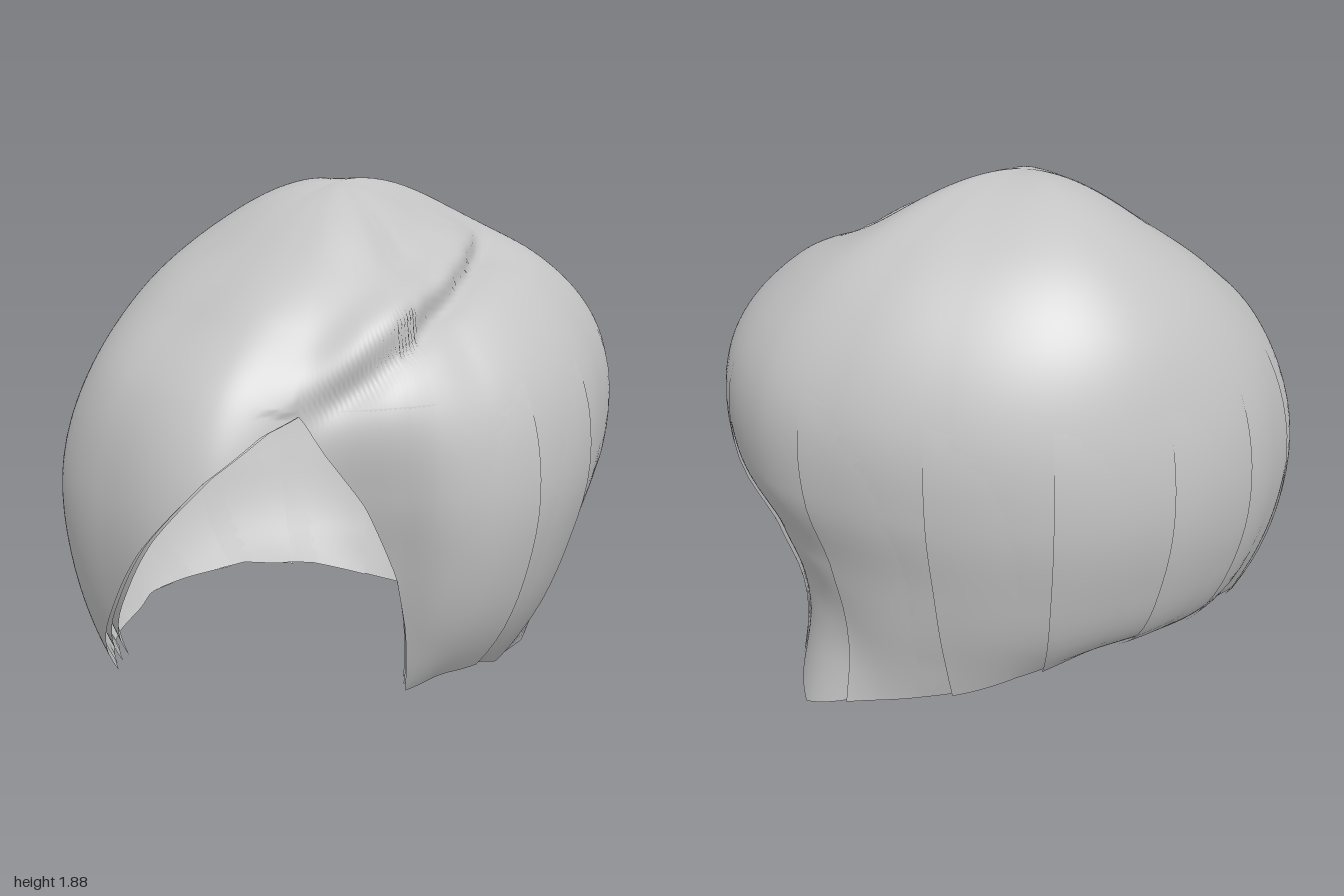
import * as THREE from 'three';

const RAD = Math.PI / 180, CY = 0.95;
const { lerp, clamp, smoothstep } = THREE.MathUtils;

// Radius of the hair from the head centre: one row per azimuth (0 = front, 90 = left ear),
// at elevations -55, -40, -20, 0, 20, 40, 60 degrees
const ELEV = [-55, -40, -20, 0, 20, 40, 60];
const AZ = [-180, -160, -135, -90, -45, -25, 0, 25, 45, 66, 78, 90, 135, 155];
const RADII = [
  [1.7, 1.07, 0.92, 0.98, 1.03, 1.0, 0.95],
  [1.25, 1.0, 0.87, 0.89, 0.94, 0.95, 0.94],
  [1.05, 0.92, 0.83, 0.83, 0.87, 0.9, 0.92],
  [0.87, 0.88, 0.84, 0.84, 0.86, 0.9, 0.92],
  [1.0, 0.99, 0.95, 0.92, 0.9, 0.88, 0.87],
  [1.2, 1.11, 1.03, 0.98, 0.92, 0.86, 0.84],
  [1.2, 1.12, 1.04, 0.99, 0.94, 0.84, 0.82],
  [1.1, 1.0, 1.0, 0.98, 0.93, 0.85, 0.82],
  [0.85, 0.77, 0.74, 0.74, 0.79, 0.8, 0.82],
  [0.92, 0.78, 0.71, 0.73, 0.79, 0.8, 0.81],
  [0.94, 0.86, 0.8, 0.79, 0.8, 0.79, 0.79],
  [0.94, 0.9, 0.85, 0.83, 0.82, 0.79, 0.78],
  [1.05, 0.96, 0.91, 0.94, 0.96, 0.92, 0.83],
  [1.25, 1.03, 0.95, 1.02, 1.06, 0.99, 0.88],
];
// Height of the lower edge by azimuth, rising into the face opening
const HEM = [[-180, 0], [-167, 0.09], [-150, 0.14], [-120, 0.24], [-90, 0.3], [-50, 0.3], [-32, 0.24],
  [-18, 0.18], [0, 0.54], [12, 0.8], [25, 1.05], [34, 1.18], [41, 1.23], [47, 1.1], [57, 0.92],
  [67, 0.65], [71, 0.45], [75, 0.18], [88, 0.24], [100, 0.25], [120, 0.17], [140, 0.14], [165, 0.11], [180, 0]];
// Parting line as azimuth, elevation
const PARTING = [[40, 20], [63, 34], [82, 45], [105, 52], [125, 55], [153, 55]];

function linear(pts, x) {
  let i = 0;
  while (i < pts.length - 2 && x > pts[i + 1][0]) i++;
  const [a, b] = [pts[i], pts[i + 1]];
  return a[1] + (b[1] - a[1]) * (x - a[0]) / (b[0] - a[0]);
}

// Smooth interpolation through uneven knots
function smooth(xs, ys, x) {
  const n = xs.length;
  let i = 0;
  while (i < n - 2 && x > xs[i + 1]) i++;
  const slope = k => {
    const a = Math.max(k - 1, 0), b = Math.min(k + 1, n - 1);
    return (ys[b] - ys[a]) / (xs[b] - xs[a]);
  };
  const h = xs[i + 1] - xs[i], t = (x - xs[i]) / h, t2 = t * t, t3 = t2 * t;
  return (2 * t3 - 3 * t2 + 1) * ys[i] + (t3 - 2 * t2 + t) * h * slope(i)
    + (3 * t2 - 2 * t3) * ys[i + 1] + (t3 - t2) * h * slope(i + 1);
}

// The rows repeat past both ends so the ring closes smoothly
const wrap = a => ((a + 180) % 360 + 360) % 360 - 180;
const ringOf = (list, turn) => [...list.slice(-3).map(v => v - turn), ...list, ...list.slice(0, 2).map(v => v + turn)];
const AZ_RING = ringOf(AZ, 360);
const RADII_RINGS = ELEV.map((_, k) => ringOf(RADII.map(row => row[k]), 0));
const aroundRing = (az, k) => smooth(AZ_RING, RADII_RINGS[k], wrap(az));

// Radii along one meridian, carried over the crown so the top stays round
function meridian(az) {
  const ys = ELEV.map((_, k) => aroundRing(az, k));
  ys.push(0.92, aroundRing(az + 180, 6));
  const xs = [...ELEV, 90, 120];
  return el => smooth(xs, ys, el);
}

const direction = (az, el) => new THREE.Vector3(
  Math.cos(el * RAD) * Math.sin(az * RAD), Math.sin(el * RAD), Math.cos(el * RAD) * Math.cos(az * RAD));

const partingDirs = [];
for (let a = 40; a <= 153; a += 0.5) partingDirs.push(direction(a, linear(PARTING, a)));

// Swept hair swells above the parting, the side hair sinks beneath it
function partingOffset(az, el) {
  if (az < 15 || az > 178 || el < 0) return 0;
  const dir = direction(az, el);
  const d = Math.min(...partingDirs.map(p => p.distanceTo(dir)));
  const side = Math.sign(el - linear(PARTING, clamp(az, 40, 153)));
  const fade = smoothstep(az, 30, 58) * (1 - smoothstep(az, 130, 165));
  const swell = 0.035 * Math.exp(-((d - 0.09) ** 2) / 0.012);
  const sink = -0.06 * Math.exp(-d / 0.08);
  return fade * lerp(sink, swell, smoothstep(side * d, -0.055, 0.055));
}

// A sheet of hair between two azimuths, from elevation `top` down to the hem
function hairSheet(az0, az1, top, cols, rows, offset = () => 0, lift = () => 0) {
  const pos = [], idx = [];
  const closed = az1 - az0 === 360, count = closed ? cols : cols + 1;
  for (let u = 0; u < count; u++) {
    const az = az0 + (az1 - az0) * u / cols, radius = meridian(az);
    const hem = linear(HEM, wrap(az)) + lift(u / cols);
    let lo = -58, hi = 60;
    for (let k = 0; k < 30; k++) {
      const mid = (lo + hi) / 2;
      if (CY + radius(mid) * Math.sin(mid * RAD) < hem) lo = mid; else hi = mid;
    }
    for (let v = 0; v <= rows; v++) {
      const t = v / rows, el = top + (lo - top) * t;
      const p = direction(az, el).multiplyScalar(radius(el) + partingOffset(wrap(az), el) + offset(u / cols, t));
      pos.push(p.x, Math.max(0, p.y + CY), p.z);
    }
  }
  const at = (u, v) => (u % count) * (rows + 1) + v;
  for (let u = 0; u < cols; u++) for (let v = 0; v < rows; v++) {
    const a = at(u, v), b = at(u, v + 1), c = at(u + 1, v + 1), d = at(u + 1, v);
    idx.push(a, b, c);
    if (v > 0 || top < 90) idx.push(a, c, d);
  }
  const geo = new THREE.BufferGeometry();
  geo.setAttribute('position', new THREE.Float32BufferAttribute(pos, 3));
  geo.setIndex(idx);
  geo.computeVertexNormals();
  return geo;
}

export function createModel() {
  const model = new THREE.Group();
  model.name = 'bobHair';
  const hair = new THREE.MeshStandardMaterial({ color: 0xc4c4c4, side: THREE.DoubleSide });
  hair.name = 'hair grey';
  const add = (name, geo) => {
    const mesh = new THREE.Mesh(geo, hair);
    mesh.name = name;
    model.add(mesh);
  };

  // Whole head of hair with the face opening
  add('mainHair', hairSheet(-180, 180, 90, 300, 110));

  // Overlapping locks, each lifting slightly along one edge
  const locks = [[-168, -140], [-140, -112], [-112, -84], [-84, -60], [-60, -38], [-38, -20],
    [78, 100], [100, 122], [122, 146], [146, 168]];
  for (const [a, b] of locks) {
    add('lock', hairSheet(a, b, 34, 10, 20, (u, t) => -0.004 + 0.016 * (a < 0 ? 1 - u : u) * Math.sin(t * Math.PI * 0.7)));
  }

  // Inner panel beneath the fringe, shorter toward the ear
  add('fringeInnerPanel', hairSheet(-50, 40, 32, 48, 16, (u, t) => -0.06 * Math.sin(t * Math.PI / 2),
    u => 0.01 + 0.25 * Math.max(0, 1 - u / 0.35)));

  // Layers giving the fringe and side lock edges some thickness
  add('fringeEdgeLayer', hairSheet(-24, 40, 32, 36, 14, (u, t) => -0.03 * t, () => 0.01));
  for (const k of [1, 2]) {
    add('sideEdgeLayer', hairSheet(43, 80, 22, 30, 14, (u, t) => -0.018 * k * t, () => 0.012 * k));
  }
  return model;
}
